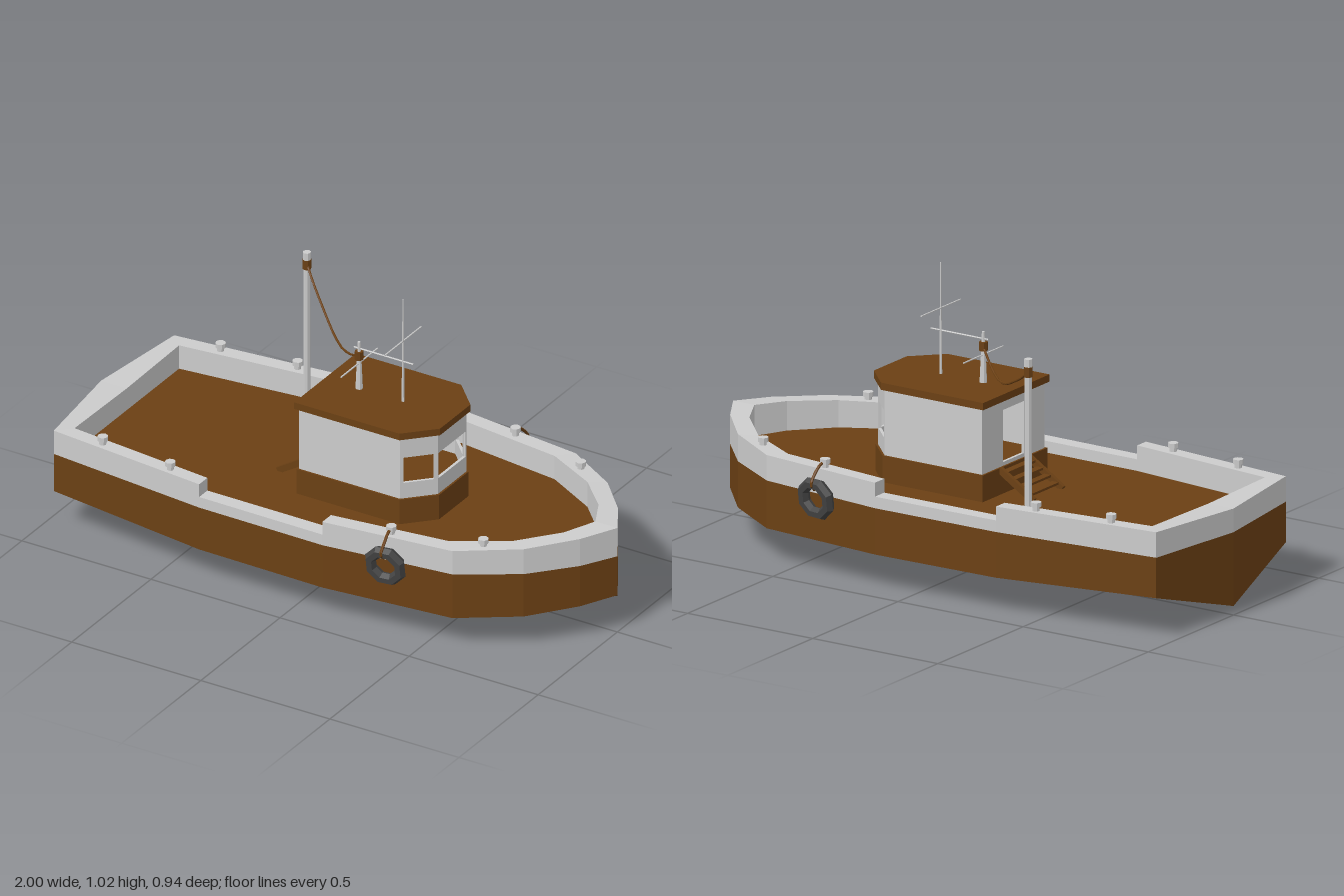
import * as THREE from 'three';

const mat = (color) => new THREE.MeshStandardMaterial({ color, flatShading: true, side: THREE.DoubleSide });
const grey = mat(0xcccccc), brown = mat(0x6b4014), darkBrown = mat(0x3d240c), rubber = mat(0x444444);

const DECK = 0.29, SILL = 0.33;
// Stations, stern to bow: outer x, outer z, inner x, inner z, rail y, chine y, keel y
const stations = [
  [-1, 0, -0.9, 0, 0.372, 0.035, 0.035],
  [-0.95, 0.38, -0.9, 0.33, 0.378, 0.15, 0.032],
  [-0.35, 0.44, -0.35, 0.388, 0.378, 0.132, 0.004],
  [0.13, 0.445, 0.13, 0.39, 0.378, 0.13, 0.004],
  [0.6, 0.39, 0.55, 0.338, 0.378, 0.125, 0.01],
  [0.8, 0.265, 0.74, 0.235, 0.384, 0.13, 0.075],
  [0.93, 0.12, 0.86, 0.11, 0.392, 0.138, 0.118],
  [1, 0, 0.915, 0, 0.397, 0.143, 0.14],
].map(([x, z, ix, iz, rail, chine, keel]) => ({ x, z, ix, iz, rail, chine, keel }));
const GAP = 2; // segment where the bulwark is lowered

export function createModel() {
  const model = new THREE.Group();

  const add = (name, geometry, material, x = 0, y = 0, z = 0, parent = model) => {
    const mesh = new THREE.Mesh(geometry, material);
    mesh.name = name;
    mesh.position.set(x, y, z);
    parent.add(mesh);
    return mesh;
  };
  const rod = (name, r0, r1, a, b, material, sides = 8, parent = model) => {
    const from = new THREE.Vector3(...a), dir = new THREE.Vector3(...b).sub(from);
    const mesh = add(name, new THREE.CylinderGeometry(r1, r0, dir.length(), sides), material, 0, 0, 0, parent);
    mesh.position.copy(from).addScaledVector(dir, 0.5);
    mesh.quaternion.setFromUnitVectors(new THREE.Vector3(0, 1, 0), dir.normalize());
    return mesh;
  };
  const rope = (name, points, r, parent = model) => {
    const curve = new THREE.CatmullRomCurve3(points.map((p) => new THREE.Vector3(...p)));
    return add(name, new THREE.TubeGeometry(curve, 12, r, 6), brown, 0, 0, 0, parent);
  };

  // Hull surfaces: each quad is made for the left side and mirrored to the right
  const surface = (name, material, quads) => {
    const pos = [];
    for (const q of quads) {
      for (const s of [1, -1]) {
        const order = s > 0 ? [0, 1, 2, 0, 2, 3] : [0, 2, 1, 0, 3, 2];
        for (const i of order) pos.push(q[i][0], q[i][1], q[i][2] * s);
      }
    }
    const geometry = new THREE.BufferGeometry();
    geometry.setAttribute('position', new THREE.Float32BufferAttribute(pos, 3));
    geometry.computeVertexNormals();
    add(name, geometry, material);
  };
  const bottom = [], sides = [], bulwark = [], deck = [];
  const outer = (p, y) => [p.x, y, p.z], inner = (p, y) => [p.ix, y, p.iz];
  for (let i = 0; i < stations.length - 1; i++) {
    const a = stations[i], b = stations[i + 1];
    const ya = i === GAP ? SILL : a.rail, yb = i === GAP ? SILL : b.rail;
    bottom.push([[a.x, a.keel, 0], [b.x, b.keel, 0], outer(b, b.chine), outer(a, a.chine)]);
    sides.push([outer(a, a.chine), outer(b, b.chine), outer(b, DECK), outer(a, DECK)]);
    bulwark.push(
      [outer(a, DECK), outer(b, DECK), outer(b, yb), outer(a, ya)],
      [outer(a, ya), outer(b, yb), inner(b, yb), inner(a, ya)],
      [inner(b, DECK), inner(a, DECK), inner(a, ya), inner(b, yb)],
    );
    deck.push([[a.ix, DECK, 0], inner(a, DECK), inner(b, DECK), [b.ix, DECK, 0]]);
  }
  // Step faces at both ends of the lowered rail
  const g0 = stations[GAP], g1 = stations[GAP + 1];
  bulwark.push([outer(g0, SILL), inner(g0, SILL), inner(g0, g0.rail), outer(g0, g0.rail)]);
  bulwark.push([inner(g1, SILL), outer(g1, SILL), outer(g1, g1.rail), inner(g1, g1.rail)]);
  surface('hullBottom', darkBrown, bottom);
  surface('hullSides', brown, sides);
  surface('bulwark', grey, bulwark);
  surface('deck', brown, deck);

  // Cabin: chamfered footprint, grown by a margin for the plinth and roof
  const footprint = (m) => [
    [-0.12 - m, 0.183 + m], [0.27 + m / 2, 0.183 + m], [0.36 + m, 0.09 + m / 2],
    [0.36 + m, -0.09 - m / 2], [0.27 + m / 2, -0.183 - m], [-0.12 - m, -0.183 - m],
  ];
  const slab = (name, margin, y, height, material) => {
    const shape = new THREE.Shape(footprint(margin).map(([x, z]) => new THREE.Vector2(x, -z)));
    const geometry = new THREE.ExtrudeGeometry(shape, { depth: height, bevelEnabled: false });
    add(name, geometry.rotateX(-Math.PI / 2), material, 0, y, 0);
  };
  slab('cabinPlinth', 0.007, DECK, 0.092, brown);
  slab('cabinRoof', 0.012, 0.61, 0.025, brown);

  // Wall openings: half width, bottom y, top y
  const chamferWindow = [0.052, 0.44, 0.535];
  const openings = [null, chamferWindow, [0.085, 0.44, 0.535], chamferWindow, null, [0.062, 0.395, 0.575]];
  const corners = footprint(0);
  corners.forEach(([x0, z0], i) => {
    const [x1, z1] = corners[(i + 1) % corners.length];
    const length = Math.hypot(x1 - x0, z1 - z0);
    const rect = (Type, l, r, b, t) => new Type([[l, b], [r, b], [r, t], [l, t]].map((p) => new THREE.Vector2(...p)));
    const shape = rect(THREE.Shape, 0, length, 0.38, 0.612);
    if (openings[i]) {
      const [w, b, t] = openings[i];
      shape.holes.push(rect(THREE.Path, length / 2 - w, length / 2 + w, b, t));
    }
    const geometry = new THREE.ExtrudeGeometry(shape, { depth: 0.01, bevelEnabled: false }).translate(0, 0, -0.01);
    add('cabinWall', geometry, grey, x0, 0, z0).rotation.y = Math.atan2(z0 - z1, x1 - x0);
  });

  // Steps up to the cabin door
  const steps = new THREE.Group();
  steps.name = 'steps';
  model.add(steps);
  for (const s of [1, -1]) {
    const stringer = add('stringer', new THREE.BoxGeometry(0.16, 0.022, 0.014), brown, -0.193, 0.333, s * 0.085, steps);
    stringer.rotation.z = Math.atan2(0.088, 0.14);
  }
  for (let i = 0; i < 4; i++) {
    add('tread', new THREE.BoxGeometry(0.026, 0.008, 0.16), brown, -0.235 + i * 0.031, 0.308 + i * 0.02, 0, steps);
  }

  // Tall pole on the right rail
  const px = -0.408, pz = -0.335;
  rod('pole', 0.012, 0.012, [px, DECK, pz], [px, 0.85, pz], grey);
  rod('poleBinding', 0.015, 0.015, [px, 0.81, pz], [px, 0.845, pz], brown);
  rod('poleCap', 0.014, 0.014, [px, 0.845, pz], [px, 0.872, pz], grey);

  // Roof mast, antenna and crossbars
  rod('roofMast', 0.013, 0.005, [0, 0.63, 0], [0, 0.81, 0], grey);
  rod('mastBinding', 0.015, 0.015, [0, 0.745, 0], [0, 0.775, 0], brown);
  rod('mastCrossbar', 0.003, 0.003, [0, 0.73, -0.115], [0, 0.73, 0.115], grey, 6);
  rod('antenna', 0.005, 0.002, [0.17, 0.63, 0], [0.17, 1.02, 0], grey, 6);
  rod('antennaCrossbar', 0.003, 0.003, [0.17, 0.862, -0.115], [0.17, 0.862, 0.115], grey, 6);
  rod('linkBar', 0.003, 0.003, [-0.02, 0.785, 0], [0.21, 0.785, 0], grey, 6);

  // Slack line between pole and mast
  const sag = [[1, 0.83], [0.9, 0.795], [0.69, 0.745], [0.5, 0.707], [0.34, 0.695], [0.18, 0.714], [0, 0.757]];
  rope('slackLine', sag.map(([t, y]) => [px * t, y, pz * t]), 0.004);

  // Bollards and hanging tyre fenders, mirrored on both sides
  for (const s of [1, -1]) {
    const fittings = new THREE.Group();
    fittings.name = s > 0 ? 'leftFittings' : 'rightFittings';
    fittings.scale.z = s;
    model.add(fittings);
    for (const [x, z] of [[-0.765, 0.372], [-0.485, 0.402], [0.365, 0.392], [0.67, 0.308]]) {
      rod('bollardStem', 0.012, 0.012, [x, 0.37, z], [x, 0.393, z], grey, 8, fittings);
      rod('bollardCap', 0.018, 0.018, [x, 0.392, z], [x, 0.408, z], grey, 8, fittings);
    }
    const tyre = add('tyreFender', new THREE.TorusGeometry(0.056, 0.021, 6, 8), rubber, 0.37, 0.28, 0.438, fittings);
    tyre.rotation.set(0.16, 0.117, Math.PI / 8);
    rope('fenderRope', [[0.365, 0.396, 0.376], [0.367, 0.394, 0.412], [0.37, 0.365, 0.447], [0.37, 0.335, 0.467],
      [0.37, 0.312, 0.448]], 0.005, fittings);
  }

  return model;
}
